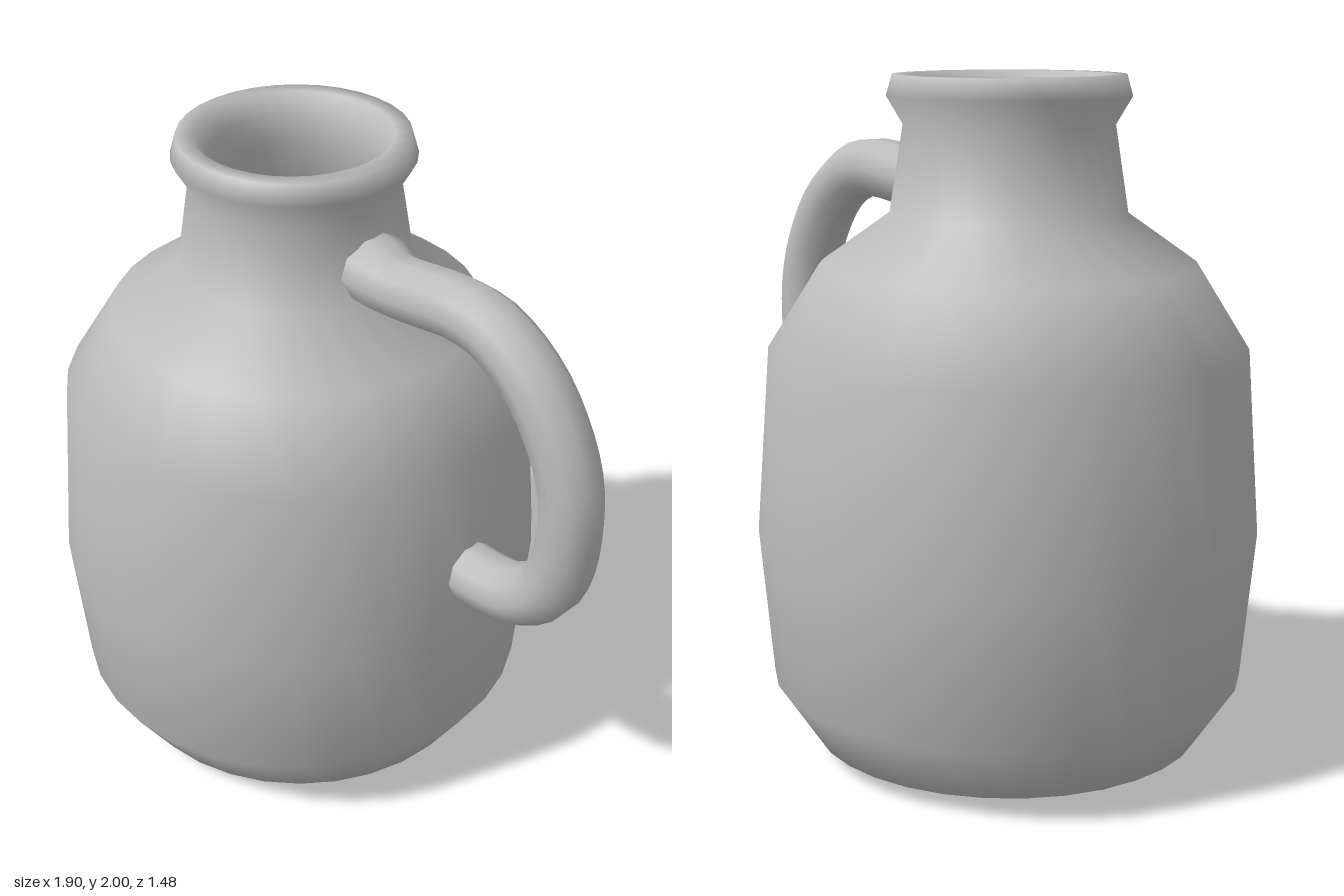
import * as THREE from 'three';

export function createModel() {
  const group = new THREE.Group();
  const clay = new THREE.MeshStandardMaterial({ color: 0xbcbcbc });
  clay.name = 'grey clay';
  const dark = new THREE.MeshStandardMaterial({ color: 0x4b5957 });
  dark.name = 'dark teal liquid';

  const SIDES = 32;
  const CENTRE = -0.21;
  const add = (geometry, material, name) => {
    const mesh = new THREE.Mesh(geometry, material);
    mesh.name = name;
    group.add(mesh);
    return mesh;
  };

  // Body: outer wall from the foot to the rim, then down the inside of the neck
  const profile = [
    [0.45, 0], [0.58, 0.05], [0.70, 0.23], [0.74, 0.67], [0.70, 1.22],
    [0.55, 1.46], [0.345, 1.605], [0.305, 1.86], [0.352, 1.94], [0.335, 2],
    [0.285, 2], [0.25, 1.94], [0.243, 1.86], [0.275, 1.6], [0.5, 1.4],
  ].map(([r, y]) => new THREE.Vector2(r, y));
  add(new THREE.LatheGeometry(profile, SIDES), clay, 'body').position.x = CENTRE;

  // Flat underside
  const base = add(new THREE.CircleGeometry(0.45, SIDES), clay, 'base');
  base.rotation.x = Math.PI / 2;
  base.position.x = CENTRE;

  // Dark surface inside, below the neck
  const liquid = add(new THREE.CircleGeometry(0.5, SIDES), dark, 'liquid');
  liquid.rotation.x = -Math.PI / 2;
  liquid.position.set(CENTRE, 1.41, 0);

  // Handle: a bent tube, flared where it meets the neck
  const path = new THREE.CatmullRomCurve3([
    [0.07, 1.70], [0.13, 1.69], [0.2, 1.67], [0.32, 1.68], [0.44, 1.69],
    [0.56, 1.67], [0.70, 1.575], [0.79, 1.45], [0.84, 1.33], [0.857, 1.215],
    [0.84, 1.04], [0.79, 0.93], [0.70, 0.86], [0.62, 0.84], [0.48, 0.84],
  ].map(([x, y]) => new THREE.Vector3(x, y, 0)));
  const handle = new THREE.TubeGeometry(path, 32, 0.093, 10, false);
  const pos = handle.attributes.position;
  for (let i = 0; i < pos.count; i++) {
    const flare = THREE.MathUtils.clamp((0.2 - pos.getX(i)) / 0.07, 0, 1);
    pos.setZ(i, pos.getZ(i) * (1 + 0.3 * flare));
  }
  add(handle, clay, 'handle');

  return group;
}
